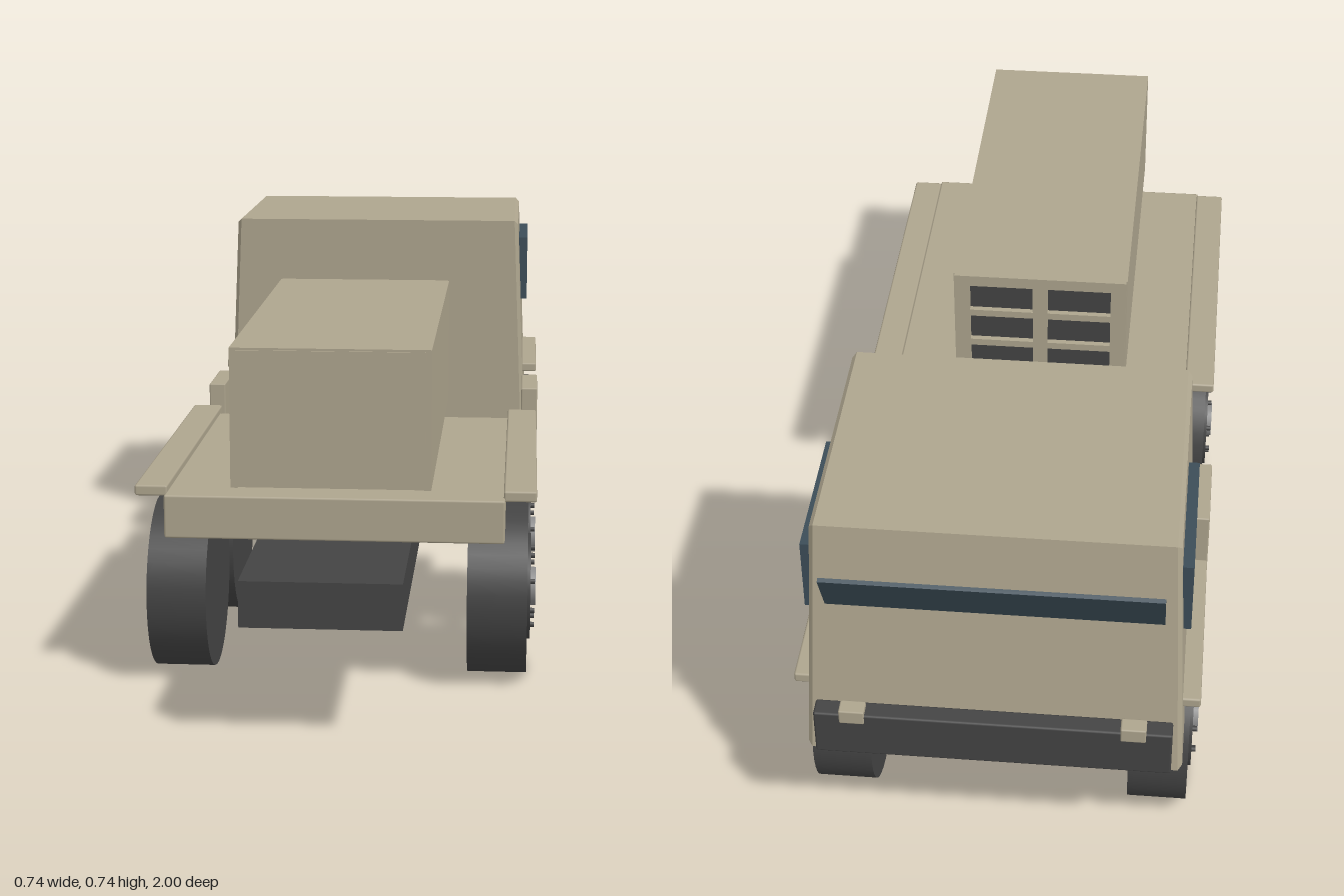
import * as THREE from 'three';
import { RoundedBoxGeometry } from 'three/addons/geometries/RoundedBoxGeometry.js';

const paint = (color) => new THREE.MeshStandardMaterial({ color });
const TAN = paint(0xaea58e);
const DARK = paint(0x444444);
const GLASS = paint(0x3c4d58);
const HUB = paint(0x8c8c8c);

export function createModel() {
  const truck = new THREE.Group();
  truck.name = 'truck';

  const add = (name, geometry, material, parent = truck) => {
    const mesh = new THREE.Mesh(geometry, material);
    mesh.name = name;
    parent.add(mesh);
    return mesh;
  };
  // Box given by its extents, with an optional softened edge
  const block = (name, [x0, x1], [y0, y1], [z0, z1], material, bevel = 0) => {
    const size = [x1 - x0, y1 - y0, z1 - z0];
    const geometry = bevel
      ? new RoundedBoxGeometry(...size, 1, bevel)
      : new THREE.BoxGeometry(...size);
    const mesh = add(name, geometry, material);
    mesh.position.set((x0 + x1) / 2, (y0 + y1) / 2, (z0 + z1) / 2);
    return mesh;
  };
  // The same box on both sides
  const pair = (name, [x0, x1], y, z, material, bevel) => {
    block(name + 'Left', [x0, x1], y, z, material, bevel);
    block(name + 'Right', [-x1, -x0], y, z, material, bevel);
  };

  // Chassis and flat bed
  block('chassis', [-0.14, 0.14], [0.213, 0.295], [-0.84, 1], DARK);
  block('bed', [-0.308, 0.308], [0.298, 0.378], [0.02, 0.745], TAN, 0.004);
  pair('bedFender', [0.305, 0.365], [0.37, 0.39], [-0.01, 0.72], TAN, 0.004);

  // Cab: side profile extruded across the width, narrowing upwards
  const bevel = 0.008;
  const profile = new THREE.Shape([
    [0.425, 0.268], [0.964, 0.268], [0.901, 0.734], [0.425, 0.734],
  ].map(([z, y]) => new THREE.Vector2(z, y)));
  const cab = new THREE.ExtrudeGeometry(profile, {
    depth: 0.68 - 2 * bevel, bevelEnabled: true, bevelSize: bevel,
    bevelThickness: bevel, bevelSegments: 1,
  });
  cab.translate(0, 0, bevel - 0.34).rotateY(Math.PI / 2);
  const p = cab.attributes.position;
  for (let i = 0; i < p.count; i++) {
    p.setX(i, p.getX(i) * (1 - 0.06 * (p.getY(i) - 0.26) / 0.48));
  }
  cab.computeVertexNormals();
  add('cab', cab, TAN);

  // Cab fittings
  pair('sideWindow', [0.32, 0.342], [0.535, 0.68], [-0.89, -0.61], GLASS);
  pair('sideRail', [0.33, 0.367], [0.37, 0.39], [-0.92, -0.55], TAN, 0.004);
  pair('storageBox', [0.333, 0.369], [0.262, 0.386], [-0.43, -0.262], TAN, 0.003);
  block('bumper', [-0.32, 0.32], [0.278, 0.375], [-0.998, -0.962], DARK, 0.004);
  pair('bumperLamp', [0.228, 0.274], [0.355, 0.385], [-1, -0.97], TAN, 0.003);
  const windscreen = block('windscreen', [-0.297, 0.297], [0.573, 0.683],
    [-0.953, -0.945], GLASS);
  windscreen.rotation.x = -0.46;

  // Cargo box with a slatted end facing the cab
  block('cargoBox', [-0.168, 0.168], [0.41, 0.656], [0, 0.803], TAN);
  pair('cargoSide', [0.165, 0.178], [0.408, 0.66], [-0.03, 0.8], TAN);
  block('cargoTop', [-0.168, 0.168], [0.648, 0.66], [-0.03, 0.8], TAN);
  block('grillePanel', [-0.16, 0.16], [0.415, 0.65], [-0.012, 0.002], DARK);
  const grille = new THREE.Shape([
    [-0.176, 0.408], [0.176, 0.408], [0.176, 0.66], [-0.176, 0.66],
  ].map((c) => new THREE.Vector2(...c)));
  for (const x of [-0.145, 0.015]) {
    for (let row = 0; row < 3; row++) {
      const y = 0.426 + row * 0.075;
      grille.holes.push(new THREE.Path([
        [x, y], [x, y + 0.06], [x + 0.13, y + 0.06], [x + 0.13, y],
      ].map((c) => new THREE.Vector2(...c))));
    }
  }
  add('grille', new THREE.ExtrudeGeometry(grille, { depth: 0.012, bevelEnabled: false }), TAN)
    .position.z = -0.038;

  // Wheels: tyre, rim disc, hub and a ring of bolts
  const disc = (r, from, to, sides) =>
    new THREE.CylinderGeometry(r, r, to - from, sides)
      .rotateZ(Math.PI / 2).translate((from + to) / 2, 0, 0);
  const tyre = disc(0.163, 0.24, 0.35, 40);
  const rim = disc(0.1, 0.345, 0.356, 32);
  const hub = disc(0.036, 0.35, 0.366, 20);
  const bolt = disc(0.005, 0.35, 0.364, 8);
  for (const [label, z] of [['front', -0.735], ['middle', 0.16], ['rear', 0.54]]) {
    for (const side of [1, -1]) {
      const wheel = new THREE.Group();
      wheel.name = label + 'Wheel' + (side > 0 ? 'Left' : 'Right');
      wheel.position.set(0, 0.163, z);
      wheel.rotation.y = side > 0 ? 0 : Math.PI;
      add('tyre', tyre, DARK, wheel);
      add('rim', rim, DARK, wheel);
      add('hub', hub, HUB, wheel);
      for (let i = 0; i < 8; i++) {
        const a = (i + 0.5) * Math.PI / 4;
        add('bolt', bolt, DARK, wheel)
          .position.set(0, 0.073 * Math.cos(a), 0.073 * Math.sin(a));
      }
      truck.add(wheel);
    }
  }
  return truck;
}
